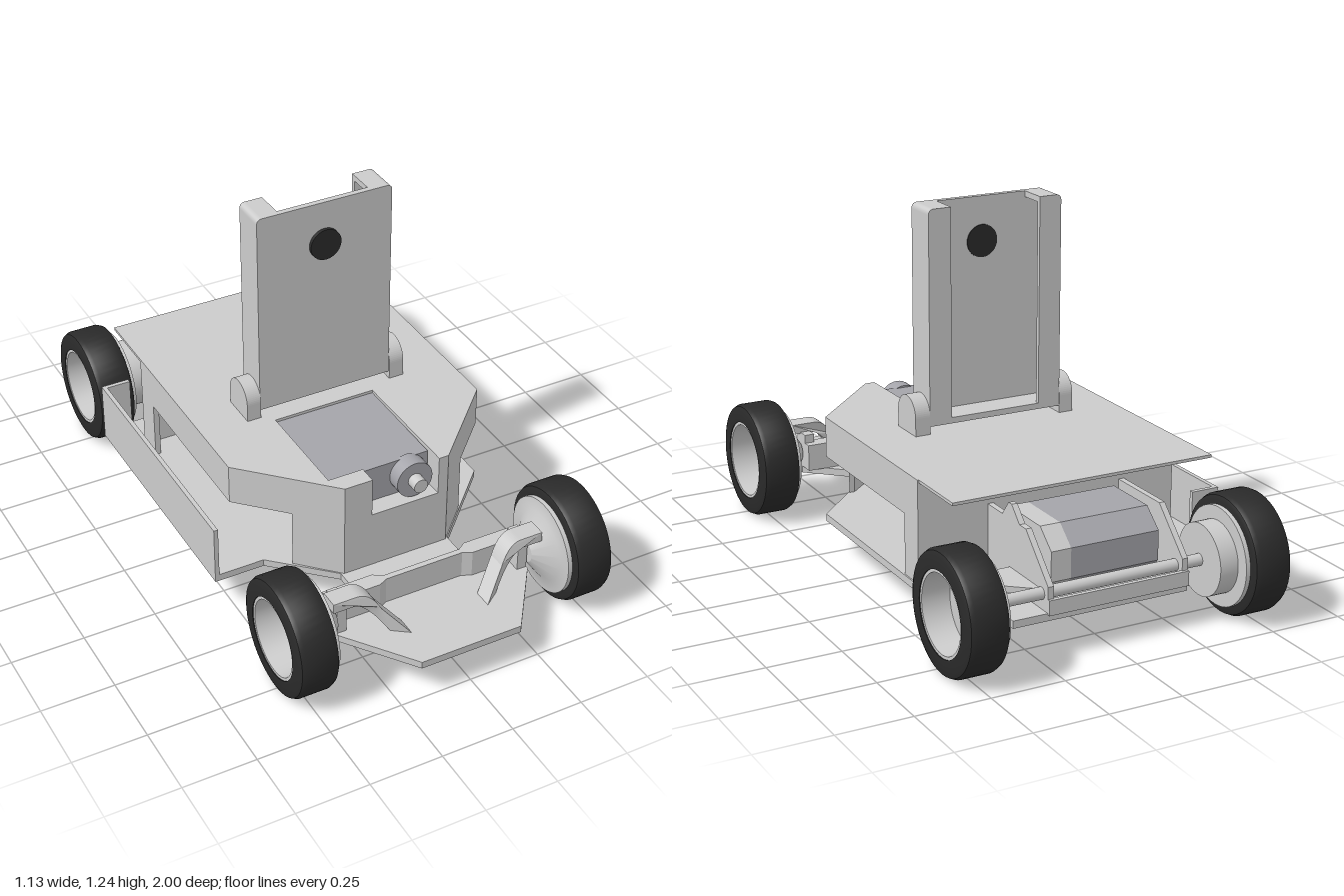
import * as THREE from 'three';
import { toCreasedNormals } from 'three/addons/utils/BufferGeometryUtils.js';

const grey = new THREE.MeshStandardMaterial({ color: 0xcccccc, side: THREE.DoubleSide });
const midGrey = new THREE.MeshStandardMaterial({ color: 0xa4a4aa });
const black = new THREE.MeshStandardMaterial({ color: 0x2a2a2a });

export function createModel() {
  const model = new THREE.Group();
  const add = (name, geo, mat = grey, parent = model) => {
    const mesh = new THREE.Mesh(geo, mat);
    mesh.name = name;
    parent.add(mesh);
    return mesh;
  };
  const shapeOf = pts => new THREE.Shape(pts.map(([x, y]) => new THREE.Vector2(x, y)));
  const extrude = (shape, depth) =>
    new THREE.ExtrudeGeometry(shape, { depth, bevelEnabled: false, curveSegments: 16 });
  // Box from its limits
  const box = (name, x0, x1, y0, y1, z0, z1, mat) =>
    add(name, new THREE.BoxGeometry(x1 - x0, y1 - y0, z1 - z0)
      .translate((x0 + x1) / 2, (y0 + y1) / 2, (z0 + z1) / 2), mat);
  // Plan outline in [x, z], raised from y0 to y1
  const slab = (name, pts, y0, y1, mat) =>
    add(name, extrude(shapeOf(pts.map(([x, z]) => [x, -z])), y1 - y0)
      .rotateX(-Math.PI / 2).translate(0, y0, 0), mat);
  // Side outline in [z, y], thick along x
  const sidePlate = (name, shape, x0, x1, mat) =>
    add(name, extrude(shape, x1 - x0).rotateY(-Math.PI / 2).scale(1, 1, 1).translate(x1, 0, 0), mat);
  // Turned part: profile [radius, offset], axis along x, pointing outwards
  const turned = (name, pts, side, x, y, z, mat, parent) =>
    add(name, toCreasedNormals(
      new THREE.LatheGeometry(pts.map(p => new THREE.Vector2(...p)), 48), 0.6)
      .rotateZ(-side * Math.PI / 2).translate(side * x, y, z), mat, parent);

  // Base plate with nose, steering notches, side shelf and rear tail
  slab('basePlate', [
    [0.18, 1], [0.35, 0.77], [0.35, 0.72], [0.285, 0.66], [0.2, 0.58], [0.2, 0.51],
    [0.46, 0.25], [0.47, 0.24], [0.47, -0.455], [0.34, -0.6], [0.34, -0.84],
    [-0.28, -0.84], [-0.28, -0.58], [-0.565, -0.58], [-0.565, 0.33], [-0.39, 0.33],
    [-0.2, 0.51], [-0.2, 0.58], [-0.285, 0.66], [-0.35, 0.72], [-0.35, 0.77], [-0.18, 1],
  ], 0.13, 0.155);

  // Upper body with a top pocket open to the front
  slab('upperBody', [
    [-0.19, 0.515], [-0.09, 0.515], [-0.09, 0.45], [-0.215, 0.45], [-0.215, 0.08],
    [0.15, 0.08], [0.155, 0.515], [0.19, 0.515], [0.465, 0.24], [0.465, -0.455],
    [-0.465, -0.455], [-0.465, 0.24],
  ], 0.36, 0.5);
  slab('pocketFloor', [[-0.19, 0.515], [0.19, 0.515], [0.155, 0.08], [-0.215, 0.08]], 0.345, 0.36);
  box('topDeckOverhang', -0.465, 0.46, 0.49, 0.5, -0.68, -0.45);
  box('pocketUnit', -0.215, 0.15, 0.36, 0.49, 0.08, 0.45, midGrey);

  // Lower walls, leaving a long window on each side
  slab('lowerFrontWall', [
    [-0.19, 0.515], [0.19, 0.515], [0.315, 0.39], [0.295, 0.39], [0.18, 0.495],
    [-0.18, 0.495], [-0.295, 0.39], [-0.315, 0.39],
  ], 0.155, 0.36);
  slab('lowerRearWall', [
    [0.465, -0.36], [0.465, -0.455], [-0.465, -0.455], [-0.465, -0.36],
    [-0.445, -0.36], [-0.445, -0.435], [0.445, -0.435], [0.445, -0.36],
  ], 0.155, 0.36);

  // Side tray
  box('trayOuterWall', -0.565, -0.55, 0.155, 0.34, -0.58, 0.33);
  box('trayRearWall', -0.565, -0.465, 0.155, 0.34, -0.58, -0.565);

  // Front sensor
  const sensor = (name, r, z0, z1, mat) =>
    add(name, new THREE.CylinderGeometry(r, r, z1 - z0, 32).rotateX(Math.PI / 2)
      .translate(0.075, 0.432, (z0 + z1) / 2), mat);
  sensor('sensorBody', 0.065, 0.44, 0.5, midGrey);
  sensor('sensorTip', 0.025, 0.5, 0.54);

  // Upright holder: rounded front plate, side walls and back lips
  const L = -0.25, R = 0.235, B = 0.525, T = 1.25, c = 0.02;
  const plate = shapeOf([[L, B], [R, B]]);
  plate.lineTo(R, T - c);
  plate.quadraticCurveTo(R, T, R - c, T);
  plate.lineTo(L + c, T);
  plate.quadraticCurveTo(L, T, L, T - c);
  add('holderFront', extrude(plate, 0.02).translate(0, 0, 0.018));
  // Channel outline: wall thickness t, top tabs reaching in by 0.08
  const channel = (t, bottom) => {
    const s = shapeOf([[L, B], [R, B]]);
    s.lineTo(R, T - c);
    s.quadraticCurveTo(R, T, R - c, T);
    [[R - 0.08, T], [R - 0.08, T - 0.02], [R - t, T - 0.02], [R - t, B + bottom],
      [L + t, B + bottom], [L + t, T - 0.02], [L + 0.08, T - 0.02], [L + 0.08, T], [L + c, T]]
      .forEach(p => s.lineTo(...p));
    s.quadraticCurveTo(L, T, L, T - c);
    return s;
  };
  add('holderSides', extrude(channel(0.015, 0.02), 0.1).translate(0, 0, -0.082));
  add('holderBackLips', extrude(channel(0.08, 0.02), 0.015).translate(0, 0, -0.083));
  add('holderButton', new THREE.CylinderGeometry(0.055, 0.055, 0.036, 32)
    .rotateX(Math.PI / 2).translate(-0.01, 1.1, 0.032), black);

  // Rounded brackets carrying the holder
  const ear = shapeOf([[-0.085, 0.5], [0.045, 0.5]]);
  ear.lineTo(0.045, 0.56);
  ear.absarc(-0.02, 0.56, 0.065, 0, Math.PI, false);
  sidePlate('holderBracketRight', ear, -0.3, -0.25);
  sidePlate('holderBracketLeft', ear, 0.235, 0.288);

  // Front cross wall
  slab('frontCrossWall', [
    [-0.35, 0.66], [-0.17, 0.66], [-0.14, 0.68], [0.14, 0.68], [0.17, 0.66], [0.35, 0.66],
    [0.35, 0.715], [0.17, 0.715], [0.14, 0.7], [-0.14, 0.7], [-0.17, 0.715], [-0.35, 0.715],
  ], 0.155, 0.25);

  // Curved steering arms, swept forward towards the middle
  for (const side of [1, -1]) {
    const s = new THREE.Shape();
    s.moveTo(0.38, 0.31);
    s.lineTo(0.3, 0.31);
    s.quadraticCurveTo(0.25, 0.31, 0.22, 0.245);
    s.lineTo(0.14, 0.155);
    s.lineTo(0.195, 0.155);
    s.quadraticCurveTo(0.27, 0.275, 0.31, 0.275);
    s.lineTo(0.38, 0.275);
    const geo = extrude(s, 0.065);
    const p = geo.attributes.position;
    for (let i = 0; i < p.count; i++) {
      const k = Math.max(0, 0.3 - p.getX(i)) / 0.16;
      p.setZ(i, p.getZ(i) + 0.73 + 0.07 * k * k);
    }
    geo.computeVertexNormals();
    const arm = add(side > 0 ? 'steeringArmLeft' : 'steeringArmRight', geo);
    arm.scale.x = side;
    const x0 = side > 0 ? 0.315 : -0.35;
    box('armPost', x0, x0 + 0.035, 0.155, 0.28, 0.69, 0.76);
  }

  // Wheels with open rims and hubs
  const tyre = [[0.137, 0], [0.18, 0], [0.193, 0.005], [0.2, 0.02], [0.2, 0.115],
    [0.193, 0.13], [0.18, 0.135], [0.137, 0.135], [0.137, 0]];
  const rim = [[0, 0.01], [0.139, 0.01], [0.139, 0.132], [0.127, 0.132], [0.12, 0.04], [0, 0.04]];
  const cone = [[0, -0.075], [0.04, -0.075], [0.12, -0.02], [0.165, -0.015], [0.165, 0.003],
    [0.13, 0.015], [0, 0.015]];
  const drum = [[0, -0.08], [0.12, -0.08], [0.12, -0.015], [0.165, -0.015], [0.165, 0.003],
    [0.13, 0.015], [0, 0.015]];
  for (const z of [0.74, -0.8]) {
    for (const side of [1, -1]) {
      const wheel = new THREE.Group();
      wheel.name = (z > 0 ? 'front' : 'rear') + (side > 0 ? 'LeftWheel' : 'RightWheel');
      model.add(wheel);
      turned('tyre', tyre, side, 0.43, 0.207, z, black, wheel);
      turned('rim', rim, side, 0.43, 0.207, z, grey, wheel);
      turned('hub', z < 0 && side < 0 ? drum : cone, side, 0.43, 0.207, z, grey, wheel);
    }
  }

  // Rear axle, its side plates and the drive motor
  add('rearAxle', new THREE.CylinderGeometry(0.02, 0.02, 0.74, 24)
    .rotateZ(Math.PI / 2).translate(0, 0.207, -0.8));
  const cheek = shapeOf([[-0.455, 0.15], [-0.84, 0.15], [-0.84, 0.24], [-0.7, 0.38], [-0.455, 0.38]]);
  sidePlate('axlePlateRight', cheek, -0.28, -0.26);
  sidePlate('axlePlateLeft', cheek, 0.2, 0.22);
  box('rearCrossBar', -0.28, 0.22, 0.15, 0.2, -0.85, -0.835);
  const motor = shapeOf([[-0.5, 0.18], [-0.73, 0.18], [-0.77, 0.22], [-0.77, 0.32],
    [-0.7, 0.38], [-0.5, 0.38]]);
  sidePlate('motorBody', motor, -0.215, 0.1, midGrey);
  sidePlate('motorEnd', motor, 0.1, 0.17);
  sidePlate('motorFin', shapeOf([[-0.55, 0.38], [-0.66, 0.38], [-0.61, 0.43], [-0.59, 0.43]]), 0.2, 0.22);
  slab('axleBrace', [[0.22, -0.8], [0.34, -0.7], [0.34, -0.6], [0.22, -0.6]], 0.2, 0.22);

  return model;
}
